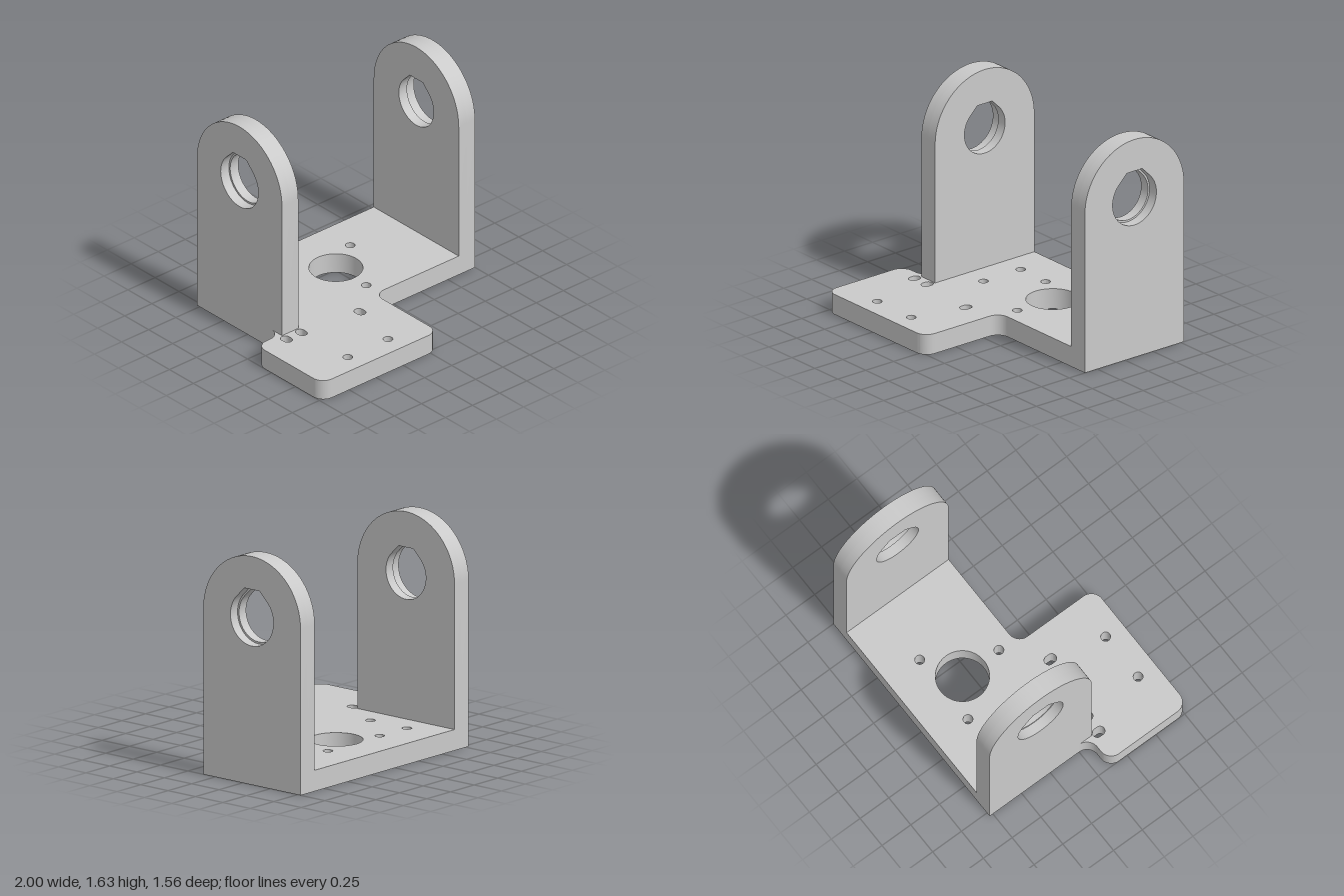
import * as THREE from 'three';
import { toCreasedNormals } from 'three/addons/utils/BufferGeometryUtils.js';

const PI = Math.PI;
const THICK = 0.15;
const FRONT = -0.11, BACK = 0.778; // stored as -z, the shape's own axis
const AXIS_Y = 1.187;

const grey = new THREE.MeshStandardMaterial({ color: 0xcacaca });
grey.name = 'plain grey';

function extrude(shape, depth) {
  return new THREE.ExtrudeGeometry(shape, { depth, bevelEnabled: false, curveSegments: 24 });
}

function addMesh(parent, name, geometry) {
  const mesh = new THREE.Mesh(toCreasedNormals(geometry, 0.5), grey);
  mesh.name = name;
  parent.add(mesh);
}

// Vertical slot; a half length of zero gives a round hole
function slot(x, z, r, half = 0) {
  const path = new THREE.Path();
  path.absarc(x, -z + half, r, 0, PI, false);
  path.absarc(x, -z - half, r, PI, 2 * PI, false);
  path.closePath();
  return path;
}

// Round bore with 45 degree shoulders and a flat top
function teardrop(cx, cy, r, flat) {
  const path = new THREE.Path();
  const halfFlat = r * Math.SQRT2 - flat;
  path.absarc(cx, cy, r, 0.75 * PI, 2.25 * PI, false);
  path.lineTo(cx + halfFlat, cy + flat);
  path.lineTo(cx - halfFlat, cy + flat);
  path.closePath();
  return path;
}

// Stepped L-shaped plate with filleted corners
function basePlate() {
  const r = 0.09;
  const s = new THREE.Shape();
  s.moveTo(-0.78, BACK);
  s.lineTo(-0.78, 0);
  s.absarc(-0.87, 0, r, 0, -PI / 2, true);
  s.absarc(-0.91, -0.18, r, PI / 2, PI, false);
  s.absarc(-0.91, -0.688, r, PI, 1.5 * PI, false);
  s.absarc(-0.02, -0.688, r, 1.5 * PI, 2 * PI, false);
  s.absarc(0.16, FRONT - r, r, PI, PI / 2, true);
  s.lineTo(1, FRONT);
  s.lineTo(1, BACK);
  s.closePath();

  // Large bore, screw holes and adjustment slots
  s.holes.push(slot(0.11, -0.335, 0.187));
  for (const [x, z] of [[-0.445, -0.503], [-0.165, -0.497], [0.385, -0.497], [-0.445, -0.17],
    [0.11, -0.018], [-0.63, 0.628], [-0.26, 0.628]]) s.holes.push(slot(x, z, 0.034));
  for (const [x, z] of [[-0.787, 0.165], [-0.65, 0.165], [-0.16, 0.223]]) {
    s.holes.push(slot(x, z, 0.034, 0.012));
  }
  return extrude(s, THICK).rotateX(-PI / 2);
}

// One layer of an upright with a rounded top
function uprightLayer(x, depth, boreRadius, boreFlat) {
  const mid = (FRONT + BACK) / 2;
  const s = new THREE.Shape();
  s.moveTo(FRONT, THICK);
  s.lineTo(BACK, THICK);
  s.absarc(mid, AXIS_Y, (BACK - FRONT) / 2, 0, PI, false);
  s.closePath();
  s.holes.push(teardrop(mid, AXIS_Y, boreRadius, boreFlat));
  return extrude(s, depth).rotateY(PI / 2).translate(x, 0, 0);
}

export function createModel() {
  const model = new THREE.Group();
  model.name = 'bracket';
  addMesh(model, 'basePlate', basePlate());

  // Each upright has a wider bore on its outer half
  const half = THICK / 2;
  for (const [name, x, outerFirst] of [['rightUpright', -0.78, true], ['leftUpright', 0.85, false]]) {
    const upright = new THREE.Group();
    upright.name = name;
    addMesh(upright, 'outerHalf', uprightLayer(outerFirst ? x : x + half, half, 0.196, 0.208));
    addMesh(upright, 'innerHalf', uprightLayer(outerFirst ? x + half : x, half, 0.182, 0.19));
    model.add(upright);
  }
  return model;
}
